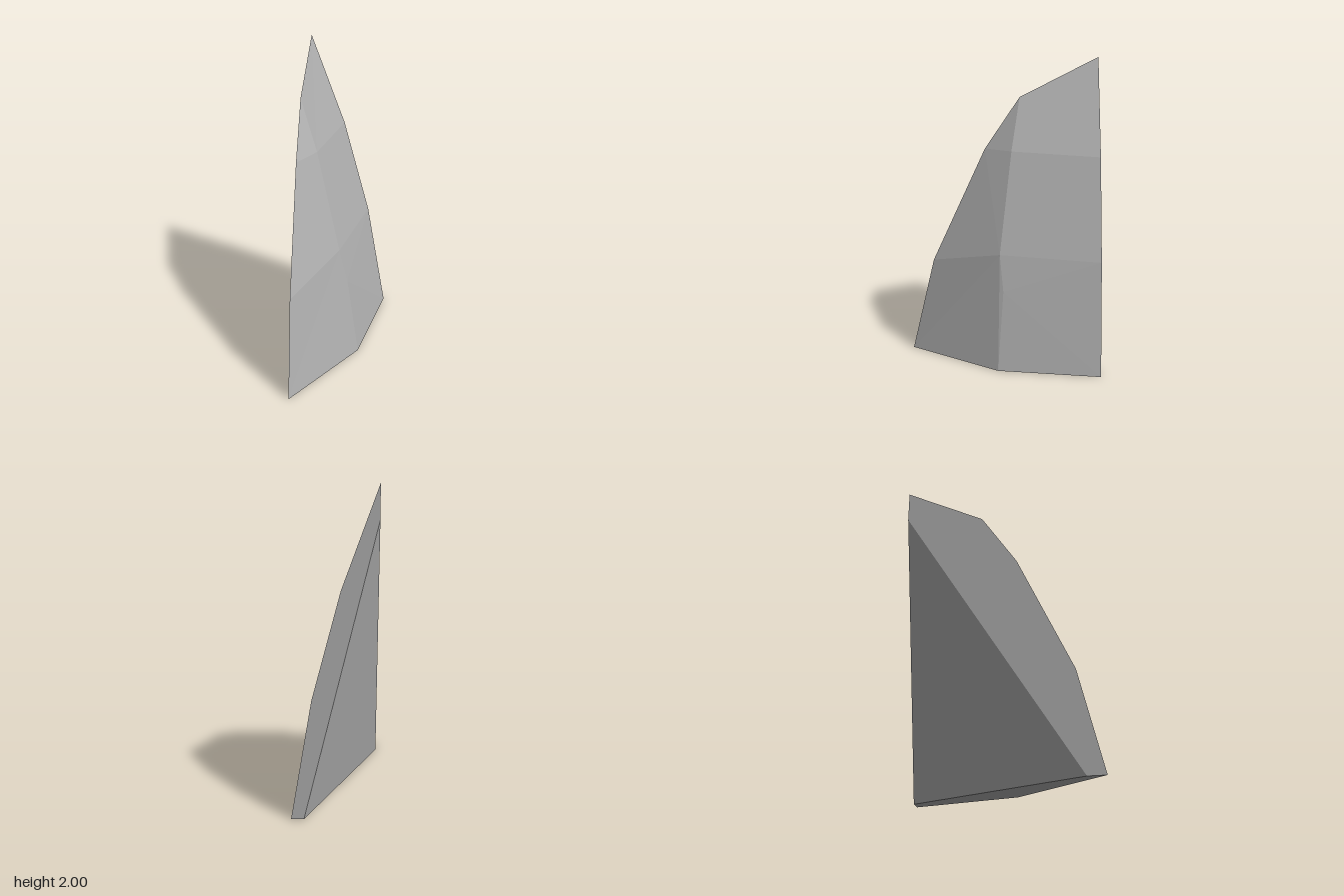
import * as THREE from 'three';

const stone = new THREE.MeshStandardMaterial({ color: 0xb0b0b0 });
stone.name = 'stone grey';

// Flat-faceted mesh from convex polygons, each cut into a fan of triangles
function facets(name, polygons) {
  const points = [];
  for (const p of polygons) {
    for (let i = 1; i < p.length - 1; i++) points.push(...p[0], ...p[i], ...p[i + 1]);
  }
  const geometry = new THREE.BufferGeometry();
  geometry.setAttribute('position', new THREE.Float32BufferAttribute(points, 3));
  geometry.computeVertexNormals();
  const mesh = new THREE.Mesh(geometry, stone);
  mesh.name = name;
  return mesh;
}

export function createModel() {
  const side = -0.257, back = -0.615;

  // Front edge, lying in the flat side plane, from base to shoulder
  const f = [[0.615, 0], [0.46, 0.65], [0.11, 1.415], [-0.115, 1.75]].map(([z, y]) => [side, y, z]);
  // Back edge, lying in the back plane, from base to tip
  const b = [[0.257, 0], [0.13, 0.75], [-0.04, 1.4], [side, 2]].map(([x, y]) => [x, y, back]);
  // Ridge running up the outer face
  const m = [[0.128, 0, 0.05], [0.05, 0.53, 0.01], [0, 0.77, 0.03], [-0.15, 1.42, -0.055]];
  // Corners of the slanted inner face
  const innerBack = [0.18, 0, back], innerFront = [side, 0, 0.5], innerTop = [side, 1.8, back];

  const shard = new THREE.Group();
  shard.name = 'rockShard';
  shard.add(
    facets('outerFace', [
      [m[2], f[1], f[0], m[0], m[1]],
      [m[1], m[0], b[0], b[1]],
      [m[1], b[1], m[2]],
      [m[2], m[3], f[2], f[1]],
      [m[2], b[1], b[2], m[3]],
      [m[3], f[3], f[2]],
      [m[3], b[2], b[3], f[3]],
    ]),
    facets('flatSide', [[innerTop, innerFront, ...f, b[3]]]),
    facets('backEdge', [[innerTop, b[3], b[2], b[1], b[0], innerBack]]),
    facets('innerFace', [[innerBack, innerFront, innerTop]]),
    facets('base', [[m[0], f[0], innerFront, innerBack, b[0]]]),
  );
  return shard;
}
